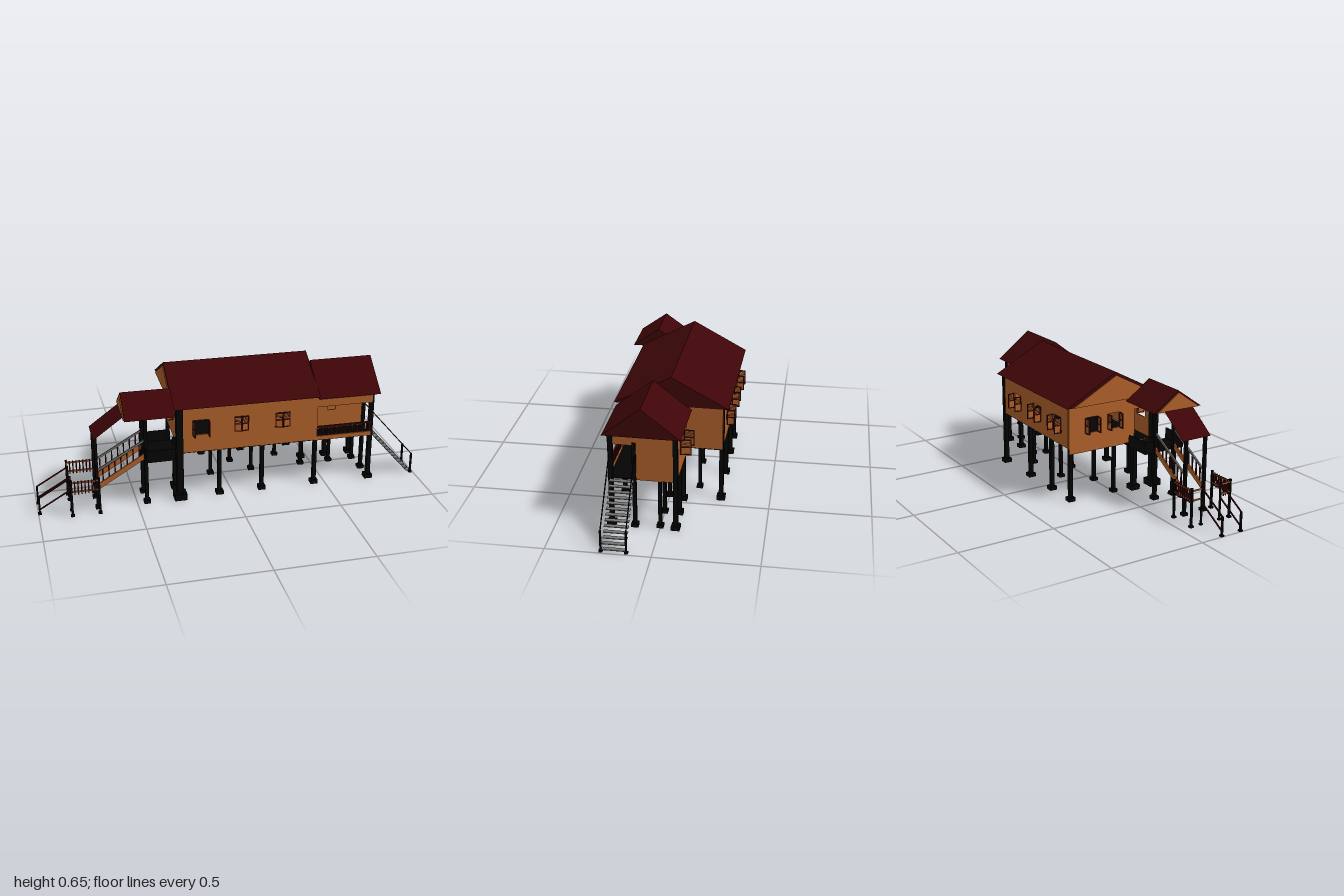
import * as THREE from 'three';

const mat = (name, color) => Object.assign(new THREE.MeshStandardMaterial({ color, side: THREE.DoubleSide }), { name });
const wood = mat('orange wood', 0xae602a);
const red = mat('dark red roof', 0x3e0507);
const trim = mat('dark red trim', 0x3c0a0a);
const black = mat('black', 0x030403);
const grey = mat('grey', 0x757575);

function mesh(parent, name, geo, m) {
  const o = new THREE.Mesh(geo, m);
  o.name = name;
  parent.add(o);
  return o;
}

// Box given by its minimum and maximum corners
function box(parent, name, m, x0, x1, y0, y1, z0, z1) {
  const o = mesh(parent, name, new THREE.BoxGeometry(x1 - x0, y1 - y0, z1 - z0), m);
  o.position.set((x0 + x1) / 2, (y0 + y1) / 2, (z0 + z1) / 2);
  return o;
}

// Square bar between two points
function bar(parent, name, m, a, b, w, h = w) {
  const p = new THREE.Vector3(...a), q = new THREE.Vector3(...b);
  const o = mesh(parent, name, new THREE.BoxGeometry(w, h, p.distanceTo(q)), m);
  o.position.copy(p).add(q).multiplyScalar(0.5);
  o.lookAt(q);
  return o;
}

// Post on a square footing
function post(parent, x, z, top, w = 0.02) {
  const b = w * 0.95;
  box(parent, 'post', black, x - w / 2, x + w / 2, 0, top, z - w / 2, z + w / 2);
  box(parent, 'footing', black, x - b, x + b, 0, w, z - b, z + b);
}

// Gabled roof along x, with an optional wooden gable panel at its left end
function roof(parent, name, x0, x1, z0, zr, z1, y0, y1, panel) {
  const s = new THREE.Shape([[-z0, y0], [-z1, y0], [-zr, y1]].map(p => new THREE.Vector2(...p)));
  const g = new THREE.ExtrudeGeometry(s, { depth: x1 - x0, bevelEnabled: false });
  const o = mesh(parent, name, g, red);
  o.rotation.y = Math.PI / 2;
  o.position.x = x0;
  if (!panel) return;
  const k = 0.88, t = [[-z0, y0], [-z1, y0], [-zr, y1]]
    .map(([z, y]) => new THREE.Vector2(-zr + (z + zr) * k, y0 + (y - y0) * k));
  const q = mesh(parent, 'gable panel', new THREE.ExtrudeGeometry(new THREE.Shape(t), { depth: 0.004, bevelEnabled: false }), wood);
  q.rotation.y = Math.PI / 2;
  q.position.x = x0 - 0.004;
}

// Louvred shutter hinged at its inner edge
function shutter(parent, x, y0, y1, w, side, angle) {
  const g = new THREE.Group();
  g.name = 'shutter';
  const h = y1 - y0, mid = h * 0.48, f = 0.005, t = 0.003;
  for (const a of [0, w - f]) box(g, 'shutter stile', trim, a, a + f, 0, h, -t, t);
  for (const y of [0, mid, h - f]) box(g, 'shutter rail', trim, f, w - f, y, y + f, -t, t);
  box(g, 'shutter panel', wood, f, w - f, f, mid, -0.001, 0.001);
  for (let i = 0; i < 5; i++) {
    const y = mid + f + 0.001 + i * (h - mid - 2 * f) / 5;
    box(g, 'louvre', wood, f, w - f, y, y + 0.005, -0.001, 0.001);
  }
  g.position.set(x, y0, 0.008);
  // a left-hand leaf swings as the mirror of a right-hand one
  g.rotation.y = side < 0 ? -angle : Math.PI + angle;
  parent.add(g);
}

// Wall with holes [x0, x1, y0, y1, shutter angle]; its outside faces local +z
function wall(parent, name, x0, x1, y0, y1, holes, pos, turn) {
  const g = new THREE.Group();
  g.name = name;
  const rect = (C, a, b, c, d) => new C([[a, c], [b, c], [b, d], [a, d]].map(p => new THREE.Vector2(...p)));
  const s = rect(THREE.Shape, x0, x1, y0, y1);
  for (const [a, b, c, d, angle] of holes) {
    s.holes.push(rect(THREE.Path, a, b, c, d));
    if (angle === undefined) continue;
    shutter(g, a, c, d, (b - a) / 2, -1, angle);
    shutter(g, b, c, d, (b - a) / 2, 1, angle);
  }
  mesh(g, name + ' boards', new THREE.ExtrudeGeometry(s, { depth: 0.006, bevelEnabled: false }), wood);
  g.position.set(...pos);
  g.rotation.y = turn;
  parent.add(g);
}

export function createModel() {
  const root = new THREE.Group();
  root.name = 'stilt house';
  const house = new THREE.Group();
  house.name = 'house';
  house.rotation.y = -0.016;
  root.add(house);

  // Main walls
  const L = -0.26, R = 0.45, F = 0.23, B = -0.264, P = 0.108, open = 1.5, ajar = 0.15;
  wall(house, 'front wall', L, R, 0.255, 0.507, [[-0.202, -0.122, 0.35, 0.43, open],
    [0.01, 0.086, 0.35, 0.43, ajar], [0.225, 0.303, 0.35, 0.43, ajar]], [0, 0, F], 0);
  wall(house, 'back wall', -R, -L, 0.285, 0.507, [-0.265, -0.05, 0.16]
    .map(x => [x - 0.038, x + 0.038, 0.35, 0.43, open]), [0, 0, B], Math.PI);
  wall(house, 'left wall', B, F, 0.252, 0.507, [[-0.17, -0.1, 0.35, 0.43, open],
    [-0.04, 0.03, 0.35, 0.43, open], [0.122, 0.22, 0.256, 0.43]], [L, 0, 0], -Math.PI / 2);
  wall(house, 'right wall back part', -P, -B, 0.285, 0.507, [], [R - 0.006, 0, 0], Math.PI / 2);
  wall(house, 'right wall lintel', -F, -P, 0.43, 0.507, [], [R - 0.006, 0, 0], Math.PI / 2);
  box(house, 'main floor', black, L, R, 0.283, 0.288, B, P);
  box(house, 'corridor floor', black, L, R, 0.25, 0.255, P, F - 0.001);

  // Right wing walls around a recessed porch
  const W = 0.745, N = -0.086;
  wall(house, 'wing right wall', -P, -N, 0.25, 0.492, [], [W - 0.006, 0, 0], Math.PI / 2);
  wall(house, 'wing back wall', -W, -R, 0.25, 0.492, [[-0.65, -0.545, 0.35, 0.43, open]], [0, 0, N], Math.PI);
  wall(house, 'porch inner wall', R, W, 0.25, 0.492, [[0.545, 0.59, 0.36, 0.42]], [0, 0, P - 0.006], 0);
  box(house, 'wing floor', black, R, W, 0.25, 0.255, N, F - 0.002);
  box(house, 'porch front beam', wood, R, W, 0.44, 0.492, F - 0.002, F + 0.006);
  box(house, 'porch front sill', wood, R, W, 0.252, 0.275, F - 0.002, F + 0.006);
  box(house, 'porch end beam', wood, W - 0.006, W, 0.43, 0.492, P, F);
  box(house, 'porch top rail', trim, R, W, 0.322, 0.33, F - 0.004, F + 0.006);
  for (let i = 0; i < 20; i++) {
    const x = R + 0.012 + i * 0.0143;
    box(house, 'porch baluster', trim, x, x + 0.006, 0.275, 0.324, F - 0.002, F + 0.003);
  }
  box(house, 'porch side frame', trim, R + 0.006, R + 0.02, 0.365, 0.44, P, P + 0.004);

  // Roofs
  roof(house, 'main roof', -0.305, 0.455, -0.297, -0.018, 0.263, 0.505, 0.655, true);
  roof(house, 'wing roof', 0.452, 0.782, -0.118, 0.068, 0.253, 0.49, 0.635, false);
  roof(house, 'entrance roof', -0.557, -0.305, 0.041, 0.181, 0.319, 0.495, 0.594, true);

  // Foundation posts
  for (const x of [-0.065, 0.16, 0.445]) post(house, x, 0.225 - 0.012 * x, 0.255);
  for (const x of [-0.255, -0.065, 0.16, 0.44, 0.6, W - 0.01]) post(house, x, -0.016 * x, x < R ? 0.285 : 0.252, 0.017);
  for (const [x, z] of [[0.07, -0.122], [0.33, -0.144]]) post(house, x, z, 0.285, 0.016);
  for (const x of [-0.25, -0.065, 0.16]) post(house, x, -0.253 - 0.016 * x, 0.285);
  post(house, 0.428, -0.264, 0.505, 0.022);
  post(house, W - 0.002, -0.087, 0.49, 0.022);
  post(house, 0.6, -0.083, 0.252);
  post(house, 0.465, -0.081, 0.252);
  post(house, W, 0.108, 0.445, 0.018);
  post(house, W, 0.22, 0.49, 0.022);
  post(house, -0.273, 0.234, 0.51, 0.034);
  post(house, -0.275, 0.114, 0.285, 0.026);

  // Right stair
  for (let i = 0; i < 13; i++) {
    const x = 0.975 - i * 0.0177, y = 0.01 + i * 0.02;
    box(root, 'right stair tread', grey, x - 0.011, x + 0.011, y - 0.002, y + 0.002, 0.12, 0.235);
  }
  for (const z of [0.118, 0.237]) {
    bar(root, 'right handrail', black, [W, 0.385, z], [0.985, 0.11, z], 0.005);
    post(root, 0.985, z, 0.112, 0.009);
  }

  // Entrance landing with solid parapets
  box(root, 'entrance landing', black, -0.455, -0.26, 0.25, 0.256, 0.06, 0.245);
  for (const z of [0.055, 0.284]) box(root, 'landing parapet', black, -0.455, -0.31, 0.25, 0.313, z, z + 0.006);
  for (const z of [0.06, 0.24]) box(root, 'landing end parapet', black, -0.455, -0.449, 0.25, 0.313, z, z + 0.046);
  box(root, 'landing front strip', black, -0.455, -0.31, 0.25, 0.256, 0.245, 0.284);
  for (const z of [0.12, 0.235]) {
    post(root, -0.45, z, 0.5, 0.018);
    post(root, -0.7, z, 0.392, 0.015);
  }

  // Sloping stair canopy, a single thin sheet
  const canopy = mesh(root, 'stair canopy', new THREE.PlaneGeometry(0.188, 0.17).rotateX(-Math.PI / 2), red);
  canopy.position.set(-0.636, 0.445, 0.175);
  canopy.rotation.z = Math.atan2(0.11, 0.152);

  // Upper left stair
  for (const z of [0.12, 0.235]) {
    bar(root, 'stair stringer', wood, [-0.7, 0.118, z], [-0.45, 0.268, z], 0.008, 0.026);
    bar(root, 'stair handrail', grey, [-0.7, 0.21, z], [-0.45, 0.355, z], 0.008, 0.01);
    for (let i = 1; i < 8; i++) {
      const x = -0.7 + i * 0.031, y = 0.12 + i * 0.0187;
      box(root, 'stair baluster', trim, x - 0.003, x + 0.003, y, y + 0.09, z - 0.003, z + 0.003);
    }
  }

  // Lower landing railings and lower stair rails, mirrored about the stair centre line
  for (const s of [-1, 1]) {
    const z = 0.175 + s * 0.115, zi = 0.175 + s * 0.056;
    for (const x of [-0.835, -0.697]) post(root, x, z, 0.2, 0.01);
    post(root, -0.835, zi, 0.195, 0.008);
    post(root, -0.993, zi, 0.1, 0.009);
    for (const y of [0.136, 0.185]) {
      bar(root, 'landing rail', wood, [-0.835, y, z], [-0.697, y, z], 0.007);
      bar(root, 'landing end rail', wood, [-0.835, y, z], [-0.835, y, zi], 0.007);
    }
    for (let i = 1; i < 8; i++) {
      const x = -0.835 + i * 0.0172;
      box(root, 'landing baluster', trim, x - 0.003, x + 0.003, 0.122, 0.192, z - 0.004, z + 0.004);
    }
    bar(root, 'lower handrail', trim, [-0.835, 0.19, zi], [-0.995, 0.098, zi], 0.006);
    bar(root, 'lower guard rail', trim, [-0.835, 0.118, zi], [-0.995, 0.025, zi], 0.006);
  }
  for (const z of [0.25, 0.263]) box(root, 'landing end baluster', trim, -0.838, -0.832, 0.122, 0.192, z - 0.003, z + 0.003);
  return root;
}
